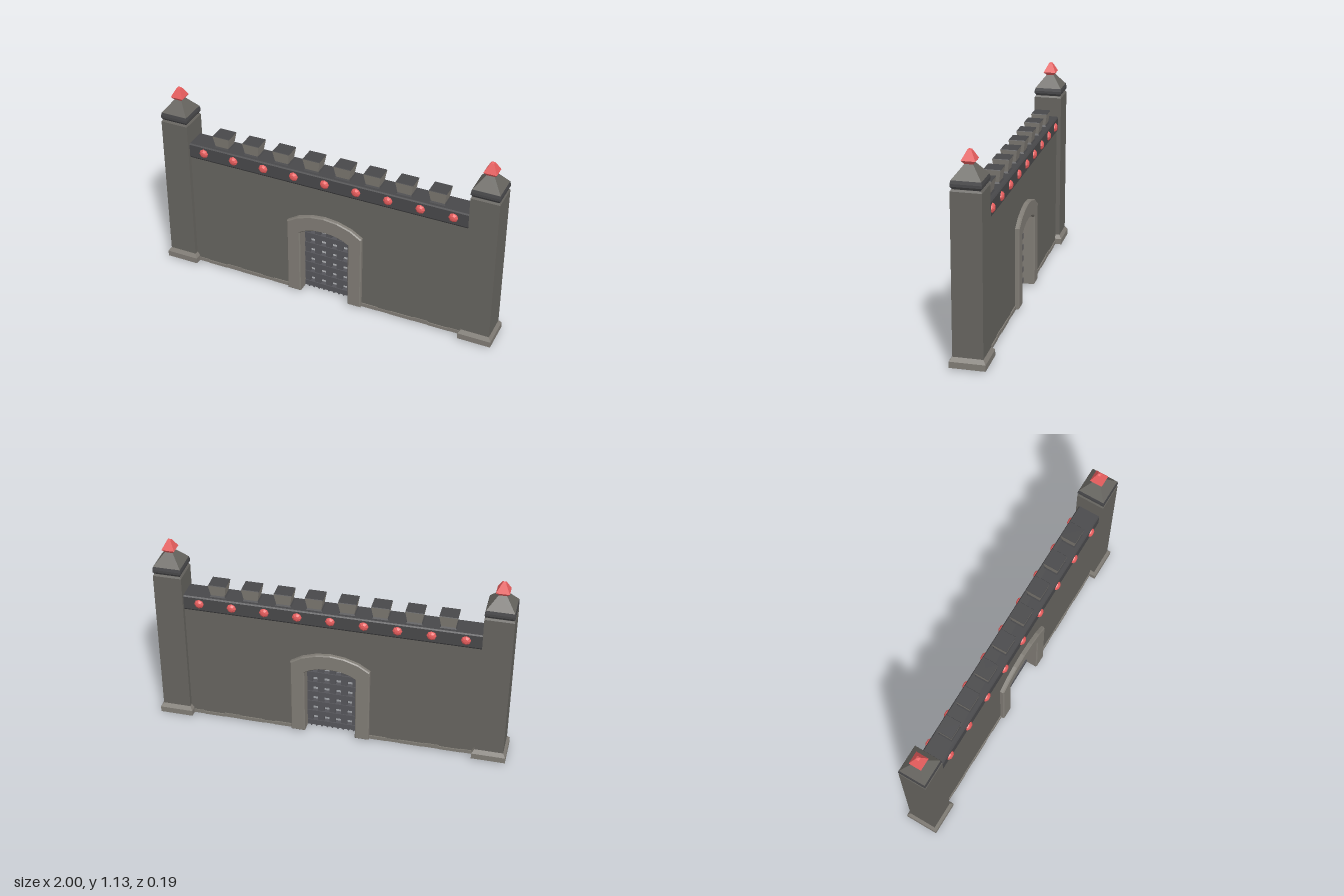
import * as THREE from 'three';

const paint = (color) => new THREE.MeshStandardMaterial({ color, flatShading: true });
const stone = paint(0x66645f);
const trim = paint(0x807c75);
const dark = paint(0x48484a);
const iron = paint(0x55555a);
const red = paint(0xe85e5e);

function add(parent, name, geometry, material, x = 0, y = 0, z = 0) {
  const mesh = new THREE.Mesh(geometry, material);
  mesh.name = name;
  mesh.position.set(x, y, z);
  parent.add(mesh);
  return mesh;
}

// Square stack: profile of [half width, height], listed bottom to top
function squareStack(profile) {
  const points = profile.map(([r, y]) => new THREE.Vector2(r * Math.SQRT2, y));
  return new THREE.LatheGeometry(points, 4, Math.PI / 4);
}

// Shape in the front plane extruded evenly about z = 0
function slab(shape, halfDepth, bevel = 0) {
  const depth = 2 * (halfDepth - bevel);
  return new THREE.ExtrudeGeometry(shape, {
    depth, curveSegments: 8, bevelEnabled: bevel > 0,
    bevelSize: bevel, bevelThickness: bevel, bevelOffset: -bevel, bevelSegments: 1,
  }).translate(0, 0, -depth / 2);
}

const toShape = (points) => new THREE.Shape(points.map(([x, y]) => new THREE.Vector2(x, y)));

// Half-arch heights, mirrored to run from right to left
function archCurve(half) {
  return [...half, ...half.slice(0, -1).reverse().map(([x, y]) => [-x, y])];
}
const innerArch = archCurve([[0.145, 0.42], [0.11, 0.44], [0.06, 0.455], [0, 0.46]]);
const outerArch = archCurve([[0.225, 0.48], [0.16, 0.521], [0.08, 0.547], [0, 0.556]]);

function makeTower(x) {
  const tower = new THREE.Group();
  tower.name = 'tower';
  tower.position.x = x;
  add(tower, 'towerBase', squareStack([[0, 0.01], [0.095, 0.01], [0.095, 0.044], [0.08, 0.066], [0, 0.066]]), trim);
  add(tower, 'towerShaft', squareStack([[0, 0.06], [0.08, 0.06], [0.08, 0.93], [0.074, 0.94], [0, 0.94]]), stone);
  add(tower, 'towerCollar', squareStack([[0, 0.938], [0.07, 0.938], [0.08, 0.954], [0.08, 0.968], [0.076, 0.985]]), dark);
  add(tower, 'towerRoof', squareStack([[0.076, 0.985], [0.02, 1.056], [0, 1.056]]), stone);
  add(tower, 'towerFinial', squareStack([[0, 1.05], [0.02, 1.052], [0.036, 1.072], [0.01, 1.122], [0, 1.128]]), red);
  return tower;
}

function makePortcullis() {
  const gate = new THREE.Group();
  gate.name = 'portcullis';
  for (let i = -2; i <= 2; i++) {
    const edge = Math.abs(i) === 2;
    add(gate, 'verticalBar', new THREE.BoxGeometry(0.036, 0.432, 0.016), iron, i * (edge ? 0.066 : 0.067), 0.232);
  }
  for (let i = 0; i < 7; i++) {
    add(gate, 'crossBar', new THREE.BoxGeometry(0.288, 0.032, 0.028), iron, 0, 0.033 + i * 0.0675);
  }
  // Row of downward teeth
  const tooth = toShape([[-0.014, 0.02], [0, 0], [0.014, 0.02]]);
  const toothGeometry = slab(tooth, 0.006);
  for (let i = -4; i <= 4; i++) add(gate, 'gateTooth', toothGeometry, iron, i * 0.031, 0);
  return gate;
}

export function createModel() {
  const model = new THREE.Group();
  model.name = 'castleGateWall';

  // Wall with the gate opening cut out from below
  const wall = toShape([[-0.83, 0.012], [-0.83, 0.74], [0.83, 0.74], [0.83, 0.012], [0.16, 0.012],
    ...innerArch.map(([x, y]) => [x * 1.05, y + 0.01]), [-0.16, 0.012]]);
  add(model, 'wall', slab(wall, 0.055), stone);

  // Raised surround of the gate
  const surround = toShape([[0.145, 0.012], [0.225, 0.012], ...outerArch, [-0.225, 0.012], [-0.145, 0.012],
    ...innerArch.slice().reverse()]);
  add(model, 'gateSurround', slab(surround, 0.079, 0.006), trim);
  model.add(makePortcullis());

  // Uneven footing stones along both sides of the gate
  const lengths = [0.11, 0.07, 0.14, 0.09, 0.12, 0.08];
  const heights = [0.022, 0.017, 0.021, 0.025, 0.018, 0.022];
  for (const side of [-1, 1]) {
    let x = 0.215;
    lengths.forEach((length, i) => {
      add(model, 'footingStone', new THREE.BoxGeometry(length, heights[i], 0.122 - (i % 2) * 0.004),
        trim, side * (x + length / 2), 0.012 + heights[i] / 2);
      x += length;
    });
  }

  // Parapet band with a chamfered lower edge
  const band = toShape([[-0.056, 0.725], [0.056, 0.725], [0.064, 0.736], [0.064, 0.81], [0.058, 0.817],
    [-0.058, 0.817], [-0.064, 0.81], [-0.064, 0.736]]);
  add(model, 'parapetBand', slab(band, 0.83).rotateY(Math.PI / 2), dark);

  // Red studs on both faces of the band
  const studProfile = [[0.027, 0], [0.025, 0.007], [0.014, 0.015], [0, 0.017]];
  const stud = new THREE.LatheGeometry(studProfile.map(([r, y]) => new THREE.Vector2(r, y)), 8).rotateX(Math.PI / 2);
  for (let i = -4; i <= 4; i++) {
    add(model, 'frontStud', stud, red, i * 0.184, 0.775, 0.063);
    add(model, 'backStud', stud, red, i * 0.184, 0.775, -0.063).rotation.y = Math.PI;
  }

  // Flared merlons with dark caps and feet
  const merlonBody = squareStack([[0.039, 0.824], [0.05, 0.89]]);
  const merlonCap = squareStack([[0.05, 0.89], [0.048, 0.893], [0, 0.893]]);
  const merlonFoot = squareStack([[0.046, 0.815], [0.039, 0.826], [0, 0.826]]);
  for (const x of [-0.635, -0.453, -0.269, -0.088, 0.094, 0.267, 0.449, 0.636]) {
    const merlon = new THREE.Group();
    merlon.name = 'merlon';
    merlon.position.x = x;
    merlon.scale.z = 0.92;
    add(merlon, 'merlonBody', merlonBody, trim);
    add(merlon, 'merlonCap', merlonCap, dark);
    add(merlon, 'merlonFoot', merlonFoot, dark);
    model.add(merlon);
  }

  for (const side of [-1, 1]) model.add(makeTower(side * 0.905));
  return model;
}
